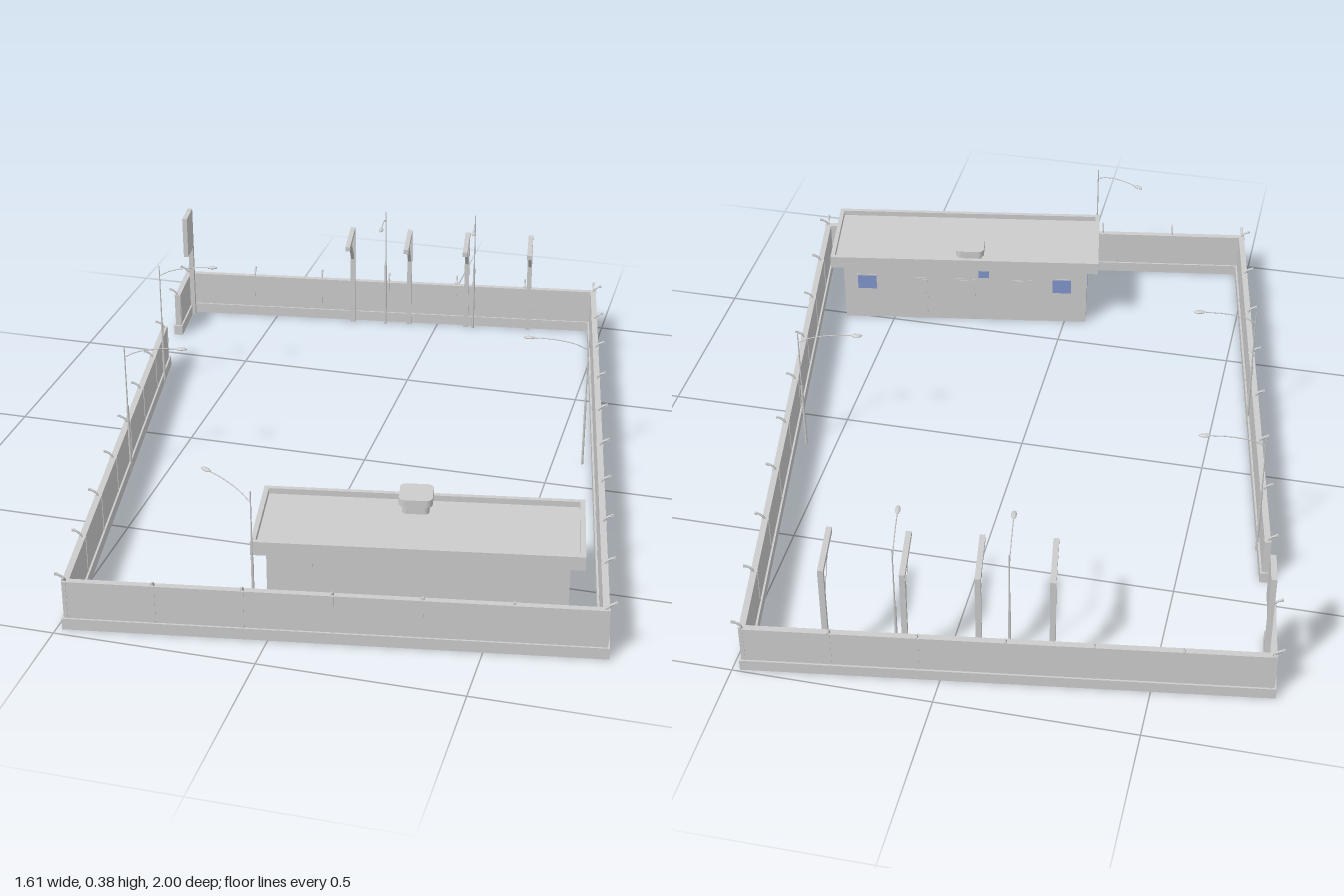
import * as THREE from 'three';

const grey = new THREE.MeshStandardMaterial({ color: 0xcccccc, flatShading: true });
const smooth = new THREE.MeshStandardMaterial({ color: 0xcccccc });
const glass = new THREE.MeshStandardMaterial({ color: 0x8095cc });

function add(parent, name, geometry, x = 0, y = 0, z = 0, material = grey) {
  const mesh = new THREE.Mesh(geometry, material);
  mesh.name = name;
  mesh.position.set(x, y, z);
  parent.add(mesh);
  return mesh;
}

const box = (parent, name, w, h, d, x, y, z, material) =>
  add(parent, name, new THREE.BoxGeometry(w, h, d), x, y, z, material);

// Group at point a whose local x axis points to b (both [x, z])
function along(parent, name, a, b) {
  const g = new THREE.Group();
  g.name = name;
  g.position.set(a[0], 0, a[1]);
  g.rotation.y = Math.atan2(a[1] - b[1], b[0] - a[0]);
  g.userData.length = Math.hypot(b[0] - a[0], b[1] - a[1]);
  parent.add(g);
  return g;
}

// Wall with plinth, thin posts and outward hooks; local +z is outward
function wall(parent, name, a, b, bays) {
  const g = along(parent, name, a, b);
  const L = g.userData.length;
  box(g, 'wallPanel', L + 0.016, 0.1, 0.016, L / 2, 0.08, 0);
  box(g, 'wallPlinth', L + 0.026, 0.03, 0.026, L / 2, 0.015, 0);
  const hook = new THREE.QuadraticBezierCurve3(
    new THREE.Vector3(0, 0.125, 0), new THREE.Vector3(0, 0.142, 0.002), new THREE.Vector3(0, 0.147, 0.022));
  const hookGeometry = new THREE.TubeGeometry(hook, 5, 0.003, 5);
  for (let i = 0; i <= bays; i++) {
    const x = (L * i) / bays;
    box(g, 'wallPost', 0.004, 0.1, 0.019, x, 0.08, 0);
    add(g, 'wallHook', hookGeometry, x, 0, 0, smooth);
    box(g, 'hookTip', 0.005, 0.006, 0.006, x, 0.147, 0.022);
  }
}

// Street lamp: pole, curved arm and flat head reaching from a to b
function lamp(parent, a, b) {
  const g = along(parent, 'streetLamp', a, b);
  const L = g.userData.length;
  add(g, 'lampPole', new THREE.CylinderGeometry(0.0015, 0.0025, 0.375, 6), 0, 0.1875, 0, smooth);
  add(g, 'lampLowerPole', new THREE.CylinderGeometry(0.0035, 0.0035, 0.2, 6), 0, 0.1, 0, smooth);
  const arm = new THREE.CatmullRomCurve3([
    new THREE.Vector3(0, 0.345, 0), new THREE.Vector3(0.03, 0.36, 0),
    new THREE.Vector3(L * 0.5, 0.372, 0), new THREE.Vector3(L - 0.03, 0.375, 0)]);
  add(g, 'lampArm', new THREE.TubeGeometry(arm, 10, 0.0015, 5), 0, 0, 0, smooth);
  const head = add(g, 'lampHead', new THREE.SphereGeometry(1, 10, 6), L - 0.015, 0.375, 0, smooth);
  head.scale.set(0.016, 0.004, 0.007);
}

// Bracketed post with a beam reaching from a to b
function bracketPost(parent, a, b) {
  const g = along(parent, 'bracketPost', a, b);
  const L = g.userData.length;
  box(g, 'post', 0.014, 0.312, 0.014, 0.007, 0.156, 0);
  box(g, 'beam', L, 0.014, 0.014, L / 2, 0.305, 0);
  const run = 0.085, rise = 0.085;
  const brace = box(g, 'brace', Math.hypot(run, rise), 0.009, 0.009, 0.01 + run / 2, 0.215 + rise / 2, 0);
  brace.rotation.z = Math.atan2(rise, run);
}

// Thin framed opening on a face; n is the outward sign along local z
function opening(parent, name, x, y, z, w, h, material) {
  box(parent, name + 'Frame', w + 0.008, h + 0.008, 0.003, x, y, z);
  box(parent, name, w, h, 0.005, x, y, z, material);
}

function building(parent) {
  const g = new THREE.Group();
  g.name = 'building';
  g.position.set(0.307, 0, 0.647);
  g.rotation.y = 0.167;
  parent.add(g);
  const W = 0.782, D = 0.265, w = 0.715, d = 0.205;
  box(g, 'buildingBody', w, 0.195, d, 0, 0.0975, 0);

  // Roof slab and raised parapet
  box(g, 'roofSlab', W - 0.004, 0.02, D - 0.004, 0, 0.203, 0);
  const rim = new THREE.Shape([[-1, -1], [1, -1], [1, 1], [-1, 1]]
    .map(([x, y]) => new THREE.Vector2((x * W) / 2, (y * D) / 2)));
  rim.holes.push(new THREE.Path([[-1, -1], [-1, 1], [1, 1], [1, -1]]
    .map(([x, y]) => new THREE.Vector2(x * (W / 2 - 0.012), y * (D / 2 - 0.012)))));
  const parapet = new THREE.ExtrudeGeometry(rim, { depth: 0.036, bevelEnabled: false });
  parapet.rotateX(-Math.PI / 2);
  add(g, 'roofParapet', parapet, 0, 0.192, 0);

  // Roof vent with rounded cap
  const rounded = (s, r, h) => {
    const p = new THREE.Shape();
    const k = s / 2 - r;
    p.absarc(k, k, r, 0, Math.PI / 2);
    p.absarc(-k, k, r, Math.PI / 2, Math.PI);
    p.absarc(-k, -k, r, Math.PI, Math.PI * 1.5);
    p.absarc(k, -k, r, Math.PI * 1.5, Math.PI * 2);
    return new THREE.ExtrudeGeometry(p, { depth: h, bevelEnabled: false, curveSegments: 4 }).rotateX(-Math.PI / 2);
  };
  add(g, 'ventBase', rounded(0.066, 0.012, 0.028), -0.016, 0.21, -0.086);
  add(g, 'ventCap', rounded(0.082, 0.016, 0.019), -0.016, 0.236, -0.086);

  // Outer face windows
  for (const x of [-0.27, 0.08, 0.145, 0.222, 0.29]) opening(g, 'outerWindow', x, 0.16, d / 2, 0.046, 0.044, grey);

  // Courtyard face: windows, doors and a small canopy
  for (const x of [0.29, -0.285]) opening(g, 'yardWindow', x, 0.125, -d / 2, 0.055, 0.045, glass);
  opening(g, 'smallWindow', -0.055, 0.165, -d / 2, 0.03, 0.03, glass);
  for (const x of [0.14, 0.0, -0.17]) opening(g, 'door', x, 0.072, -d / 2, 0.05, 0.135, grey);
  box(g, 'windowCanopy', 0.045, 0.005, 0.018, -0.055, 0.186, -d / 2 - 0.008);

  // End face windows
  for (const z of [-0.05, 0.045]) {
    box(g, 'endWindowFrame', 0.003, 0.058, 0.058, -w / 2, 0.135, z);
    box(g, 'endWindow', 0.005, 0.05, 0.05, -w / 2, 0.135, z, glass);
  }
}

export function createModel() {
  const model = new THREE.Group();
  model.name = 'walledYard';

  // Perimeter walls with a gate gap on one side
  const A = [-0.78, -0.805], B = [0.47, -0.98], C = [0.775, 0.765], D = [-0.475, 0.965];
  wall(model, 'frontWall', D, C, 6);
  wall(model, 'leftWall', C, B, 9);
  wall(model, 'backWall', B, A, 6);
  wall(model, 'gateWall', A, [-0.757, -0.635], 1);
  wall(model, 'rightWall', [-0.718, -0.405], D, 7);

  building(model);

  // Lamps: pole and head positions
  [
    [[-0.685, -0.30], [-0.52, -0.33]],
    [[-0.595, 0.22], [-0.43, 0.193]],
    [[-0.157, -0.86], [-0.135, -0.705]],
    [[0.112, -0.9], [0.138, -0.745]],
    [[0.58, -0.128], [0.41, -0.102]],
    [[-0.046, 0.86], [-0.19, 0.78]],
  ].forEach(([a, b]) => lamp(model, a, b));

  // Row of bracketed posts along the back wall
  [[-0.262, -0.865], [-0.088, -0.89], [0.087, -0.914], [0.277, -0.94]]
    .forEach(([x, z]) => bracketPost(model, [x, z], [x + 0.024, z + 0.155]));

  // Sign by the gate
  const sign = along(model, 'gateSign', [-0.762, -0.79], [-0.75, -0.705]);
  box(sign, 'signPost', 0.014, 0.352, 0.014, 0.007, 0.176, 0);
  box(sign, 'signPanel', 0.074, 0.125, 0.014, 0.05, 0.289, 0);

  return model;
}
